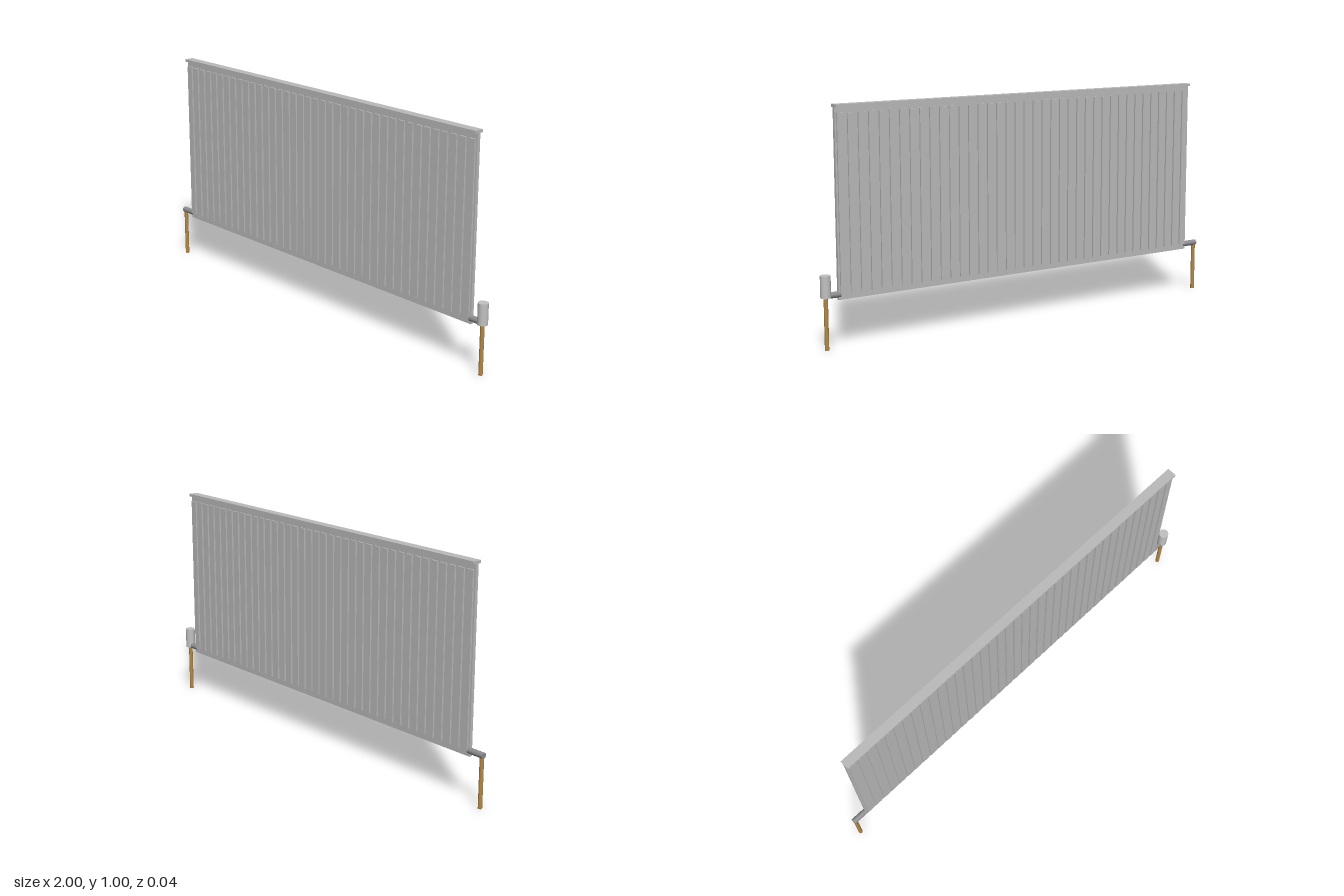
import * as THREE from 'three';

const panelGrey = new THREE.MeshStandardMaterial({ name: 'panelGrey', color: 0xbababa });
const valveGrey = new THREE.MeshStandardMaterial({ name: 'valveGrey', color: 0xc2c2c2 });
const fittingGrey = new THREE.MeshStandardMaterial({ name: 'fittingGrey', color: 0x8c8c8e });
const copper = new THREE.MeshStandardMaterial({ name: 'copper', color: 0xb08848 });

const LEFT = 0.92, RIGHT = -0.93; // panel ends
const WIDTH = LEFT - RIGHT, MID = (LEFT + RIGHT) / 2;
const RIBS = 39;

function add(parent, name, geometry, material, x, y, z = 0) {
  const mesh = new THREE.Mesh(geometry, material);
  mesh.name = name;
  mesh.position.set(x, y, z);
  parent.add(mesh);
  return mesh;
}

// Upright cylinder between two heights
function post(parent, name, radius, y0, y1, x, material) {
  return add(parent, name, new THREE.CylinderGeometry(radius, radius, y1 - y0, 24), material, x, (y0 + y1) / 2);
}

// Horizontal cylinder between two x positions
function tail(parent, name, radius, x0, x1, y) {
  const mesh = add(parent, name, new THREE.CylinderGeometry(radius, radius, x1 - x0, 24), fittingGrey, (x0 + x1) / 2, y);
  mesh.rotation.z = Math.PI / 2;
}

export function createModel() {
  const radiator = new THREE.Group();
  radiator.name = 'radiator';

  // Core sheet and top grille
  add(radiator, 'panelCore', new THREE.BoxGeometry(WIDTH, 0.79, 0.015), panelGrey, MID, 0.6);
  add(radiator, 'topCap', new THREE.BoxGeometry(WIDTH, 0.012, 0.042), panelGrey, MID, 0.999);

  // Vertical convector ribs standing proud of both faces
  const ribs = new THREE.Group();
  ribs.name = 'ribs';
  radiator.add(ribs);
  const pitch = WIDTH / RIBS;
  const ribGeometry = new THREE.BoxGeometry(pitch * 0.68, 0.74, 0.03);
  for (let i = 0; i < RIBS; i++) {
    add(ribs, 'rib', ribGeometry, panelGrey, RIGHT + (i + 0.5) * pitch, 0.6);
  }

  // Tails joining the panel to its pipes
  tail(radiator, 'rightTail', 0.013, -1, RIGHT + 0.01, 0.228);
  tail(radiator, 'leftTail', 0.013, LEFT - 0.01, 0.975, 0.228);

  // Supply pipes and valve head
  post(radiator, 'rightPipe', 0.009, 0, 0.225, -0.99, copper);
  post(radiator, 'leftPipe', 0.009, 0, 0.225, 0.975, copper);
  post(radiator, 'valveHead', 0.022, 0.22, 0.313, 0.975, valveGrey);

  return radiator;
}
